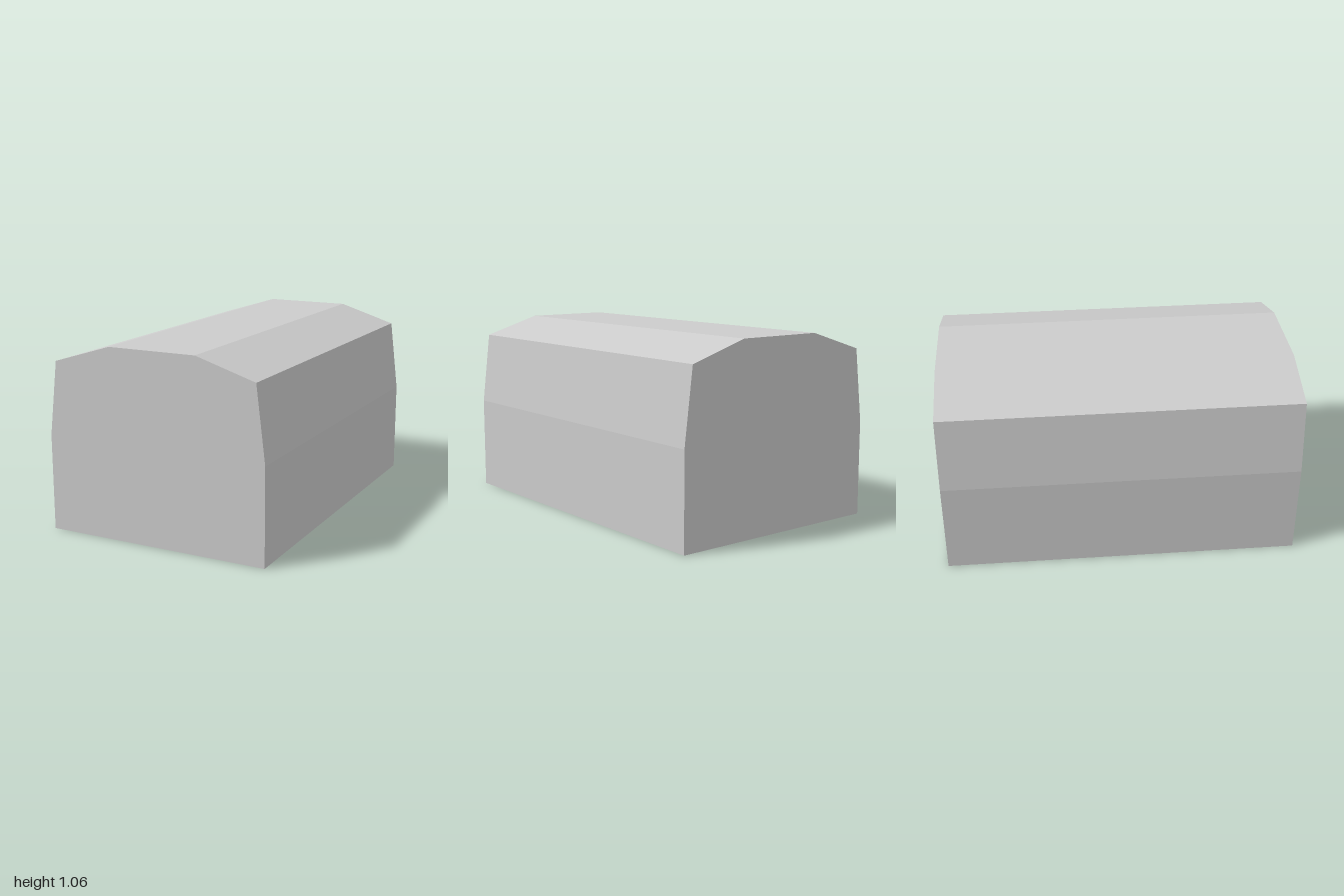
import * as THREE from 'three';

export function createModel() {
  const group = new THREE.Group();
  const length = 2;

  // Right half of the barrel-roofed cross-section, mirrored for the left
  const half = [[0.648, 0], [0.648, 0.54], [0.597, 0.957], [0.256, 1.062]];
  const mirrored = half.map(([x, y]) => [-x, y]).reverse();
  const profile = new THREE.Shape([...half, ...mirrored].map(([x, y]) => new THREE.Vector2(x, y)));

  // Solid body extruded along its length
  const geometry = new THREE.ExtrudeGeometry(profile, { depth: length, bevelEnabled: false });
  geometry.translate(0, 0, -length / 2);
  const body = new THREE.Mesh(
    geometry,
    new THREE.MeshStandardMaterial({ color: 0xcccccc, flatShading: true })
  );
  body.name = 'body';
  group.add(body);

  return group;
}
